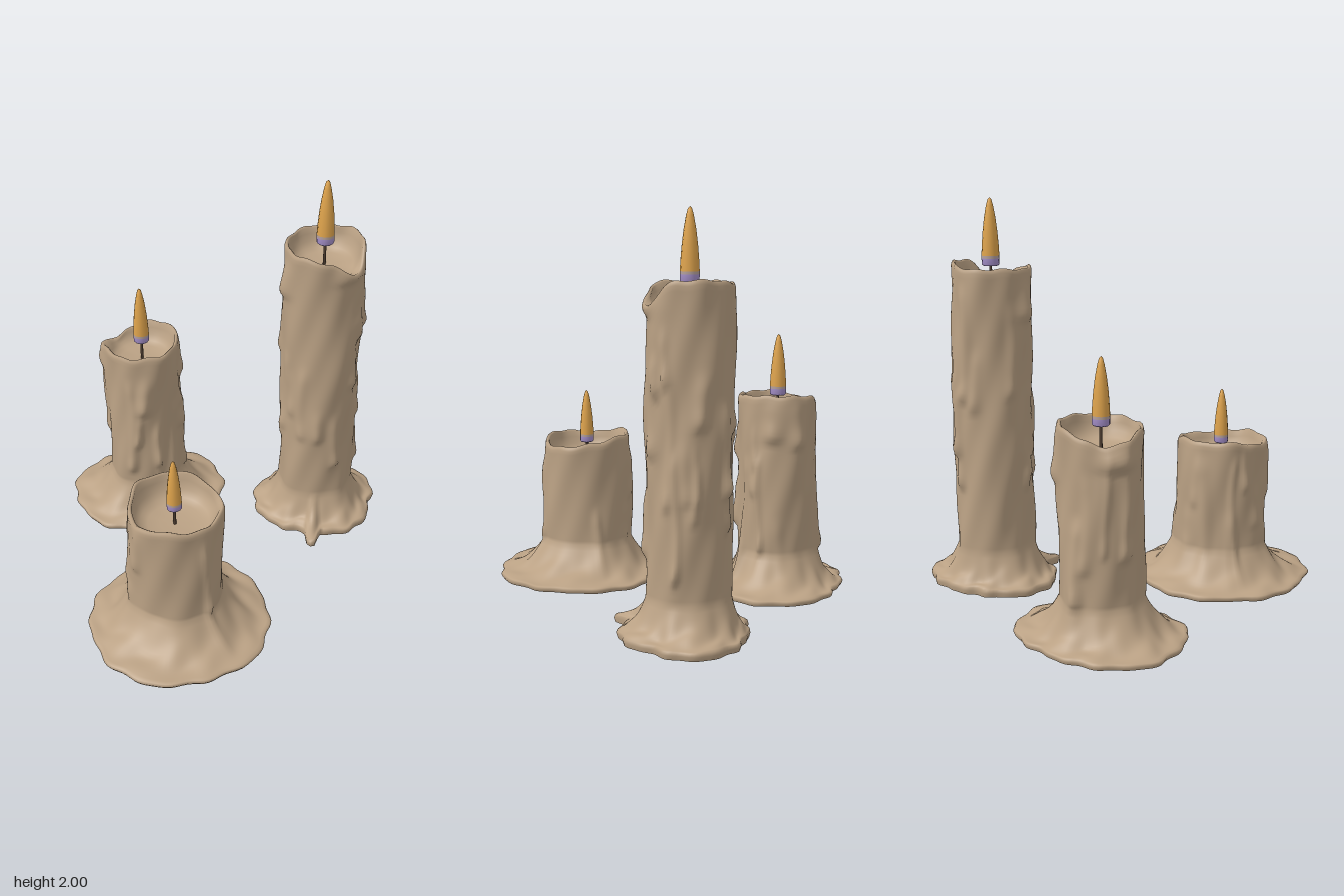
import * as THREE from 'three';

const wax = new THREE.MeshStandardMaterial({ name: 'wax', color: 0xbaa184 });
const flameOrange = new THREE.MeshStandardMaterial({ name: 'flame orange', color: 0xdea34c });
const flameLilac = new THREE.MeshStandardMaterial({ name: 'flame lilac', color: 0xa691cb });
const flameGrey = new THREE.MeshStandardMaterial({ name: 'flame grey', color: 0xb5a19c });
const wickBrown = new THREE.MeshStandardMaterial({ name: 'wick brown', color: 0x4a3a2e });

const SEG = 112, TAU = Math.PI * 2;
const step = (x, a, b) => THREE.MathUtils.smoothstep(x, a, b);
const lerp = THREE.MathUtils.lerp;
const angleGap = (a, b) => Math.atan2(Math.sin(a - b), Math.cos(a - b));

// Smooth closed interpolation of values listed every 30 degrees (0 = +x, 90 = +z).
function around(v, a) {
  const n = v.length, f = ((a / TAU) * n + n) % n, i = Math.floor(f), t = f - i;
  const [p, q, r, s] = [-1, 0, 1, 2].map(k => v[(i + k + n) % n]);
  return q + 0.5 * t * (r - p + t * (2 * p - 5 * q + 4 * r - s + t * (3 * (q - r) + s - p)));
}

function seeded(seed) {
  return () => (seed = (seed * 16807) % 2147483647) / 2147483647;
}

// Runs of wax: narrow ridges that end in a rounded bead.
function makeDrips(c) {
  const rand = seeded(c.seed * 7919);
  const drips = (c.drips || []).map(([deg, top, bottom, width, amp]) =>
    ({ a: deg * TAU / 360, top, bottom, width, amp }));
  for (let i = 0; i < c.runs; i++) {
    const top = c.height * lerp(0.35, 1, rand());
    drips.push({
      a: rand() * TAU, top, bottom: Math.max(0, top - lerp(0.15, 0.6, rand())),
      width: lerp(0.07, 0.17, rand()), amp: lerp(0.01, 0.026, rand()),
    });
  }
  return drips;
}

// One closed skin: underside, puddle, foot, column wall, rim and hollow.
function waxGeometry(c) {
  const drips = makeDrips(c), s = c.seed;
  const wall = (a, y) => {
    let r = c.radius - 0.006
      + 0.005 * Math.sin(3 * a + 5 * y + s) + 0.004 * Math.sin(5 * a - 8 * y + 2 * s)
      + 0.003 * Math.sin(8 * a + 13 * y + 3 * s);
    for (const d of drips) {
      const g = angleGap(a, d.a + 0.05 * Math.sin(9 * y + d.amp * 900));
      const run = step(y, d.bottom - 0.025, d.bottom + 0.02) * (1 - step(y, d.top - 0.05, d.top + 0.06));
      const bead = Math.exp(-(((y - d.bottom - 0.04) / 0.05) ** 2));
      r += d.amp * Math.exp(-((g / d.width) ** 2)) * run * (0.6 + 0.5 * bead);
    }
    return r;
  };
  const edge = a => {
    let r = around(c.puddle, a) + 0.006 * Math.sin(11 * a + s) + 0.005 * Math.sin(17 * a + 2 * s);
    if (c.spill) r += c.spill.reach * Math.exp(-((angleGap(a, c.spill.deg * TAU / 360) / 0.1) ** 4));
    return r;
  };
  const rim = a => around(c.rim, a) + 0.004 * Math.sin(9 * a + s);

  const rows = [];
  const add = fn => rows.push(fn);
  add(() => [0, 0]);
  for (let k = 0; k < 2; k++) add(a => [edge(a) * 0.98, 0]);
  add(a => [edge(a), c.lip * 0.45]);
  // puddle and flared foot
  for (let i = 0; i <= 14; i++) {
    const t = 0.97 * (1 - i / 14);
    add(a => [
      lerp(wall(a, 0.2), edge(a), t),
      c.lip * (1 - 0.3 * t ** 6) + (0.2 - c.lip) * (1 - t) ** 2.6
        + 0.022 * t * (1 - t) * (Math.sin(5 * a + 6 * t + s) + Math.sin(9 * a - 8 * t)),
    ]);
  }
  // column wall
  const N = Math.round(c.height * 36);
  for (let i = 1; i <= N; i++) {
    add(a => {
      const y = lerp(0.2, rim(a) - 0.022, i / N);
      return [wall(a, y), y];
    });
  }
  // rounded rim, then the hollow
  for (const [k, drop] of [[0.98, 0.006], [0.945, 0], [0.9, 0.008]])
    add(a => [wall(a, rim(a) - 0.022) * k, rim(a) - drop]);
  for (const [k, h] of [[0.86, 0.7], [0.8, 0.4], [0.7, 0.17], [0.55, 0.06], [0.3, 0.01], [0, 0]])
    add(a => [c.radius * k, lerp(c.floor, rim(a), h)]);

  const pos = [], index = [];
  rows.forEach((fn, i) => {
    for (let j = 0; j < SEG; j++) {
      const a = (j / SEG) * TAU, [r, y] = fn(a);
      pos.push(r * Math.cos(a), y, r * Math.sin(a));
      if (i + 1 < rows.length) {
        const p = i * SEG + j, q = i * SEG + (j + 1) % SEG;
        index.push(p, p + SEG, q, q, p + SEG, q + SEG);
      }
    }
  });
  const geo = new THREE.BufferGeometry();
  geo.setAttribute('position', new THREE.Float32BufferAttribute(pos, 3));
  geo.setIndex(index);
  geo.computeVertexNormals();
  // the centre rows are fans, so give them one shared normal each
  const n = geo.attributes.normal, last = (rows.length - 1) * SEG;
  for (let j = 0; j < SEG; j++) {
    n.setXYZ(j, 0, -1, 0);
    n.setXYZ(SEG + j, 0, -1, 0);
    n.setXYZ(last + j, 0, 1, 0);
  }
  return geo;
}

function lathe(name, points, material) {
  const mesh = new THREE.Mesh(
    new THREE.LatheGeometry(points.map(p => new THREE.Vector2(...p)), 12), material);
  mesh.name = name;
  return mesh;
}

// Flame: lilac base, thin grey band and tapering orange tip.
function makeFlame(base, tip) {
  const h = tip - base, flame = new THREE.Group();
  const P = list => list.map(([r, y]) => [r * h, y * h]);
  flame.name = 'flame';
  flame.position.y = base;
  flame.add(
    lathe('flameBase', P([[0, 0], [0.11, 0], [0.13, 0.02], [0.132, 0.11]]), flameLilac),
    lathe('flameBand', P([[0.132, 0.11], [0.132, 0.15]]), flameGrey),
    lathe('flameTip', P([[0.132, 0.15], [0.124, 0.3], [0.108, 0.5], [0.084, 0.7],
      [0.052, 0.88], [0.028, 0.97], [0, 1]]), flameOrange));
  return flame;
}

function makeCandle(c) {
  const g = new THREE.Group();
  g.name = c.name;
  g.position.set(c.x, 0, c.z);
  const body = new THREE.Mesh(waxGeometry(c), wax);
  body.name = 'waxBody';
  const length = c.flame[0] - c.floor + 0.03;
  const wick = new THREE.Mesh(new THREE.CylinderGeometry(0.007, 0.008, length, 8), wickBrown);
  wick.name = 'wick';
  wick.position.y = c.floor - 0.01 + length / 2;
  g.add(body, wick, makeFlame(...c.flame));
  return g;
}

const candles = [
  {
    name: 'shortCandle', x: -0.47, z: 0.45, radius: 0.238, height: 0.76, floor: 0.63, lip: 0.035,
    flame: [0.725, 1.01], seed: 3, runs: 12,
    puddle: [0.455, 0.47, 0.49, 0.47, 0.485, 0.475, 0.45, 0.45, 0.43, 0.445, 0.43, 0.455],
    rim: [0.745, 0.73, 0.73, 0.745, 0.76, 0.75, 0.74, 0.76, 0.78, 0.77, 0.78, 0.76],
  },
  {
    name: 'mediumCandle', x: -0.3, z: -0.585, radius: 0.207, height: 1.02, floor: 0.91, lip: 0.035,
    flame: [1.02, 1.34], seed: 5, runs: 16,
    drips: [[10, 1, 0.8, 0.25, 0.02], [330, 1, 0.77, 0.2, 0.02], [225, 0.95, 0.86, 0.4, 0.025]],
    puddle: [0.43, 0.425, 0.325, 0.3, 0.37, 0.41, 0.41, 0.425, 0.385, 0.355, 0.35, 0.405],
    rim: [1.04, 1.04, 1.03, 1.03, 1.02, 1.02, 1.02, 0.99, 0.97, 1, 1.03, 1.04],
  },
  {
    name: 'tallCandle', x: 0.55, z: -0.157, radius: 0.207, height: 1.66, floor: 1.54, lip: 0.05,
    flame: [1.66, 2], seed: 11, runs: 20, spill: { deg: 115, reach: 0.1 },
    drips: [[180, 1.55, 1.4, 0.25, 0.022], [70, 1.62, 1.52, 0.4, 0.02]],
    puddle: [0.36, 0.32, 0.34, 0.325, 0.3, 0.315, 0.335, 0.335, 0.3, 0.285, 0.3, 0.34],
    rim: [1.68, 1.66, 1.56, 1.61, 1.65, 1.66, 1.65, 1.66, 1.66, 1.66, 1.67, 1.68],
  },
];

export function createModel() {
  const model = new THREE.Group();
  model.name = 'meltedCandles';
  candles.forEach(c => model.add(makeCandle(c)));
  return model;
}
